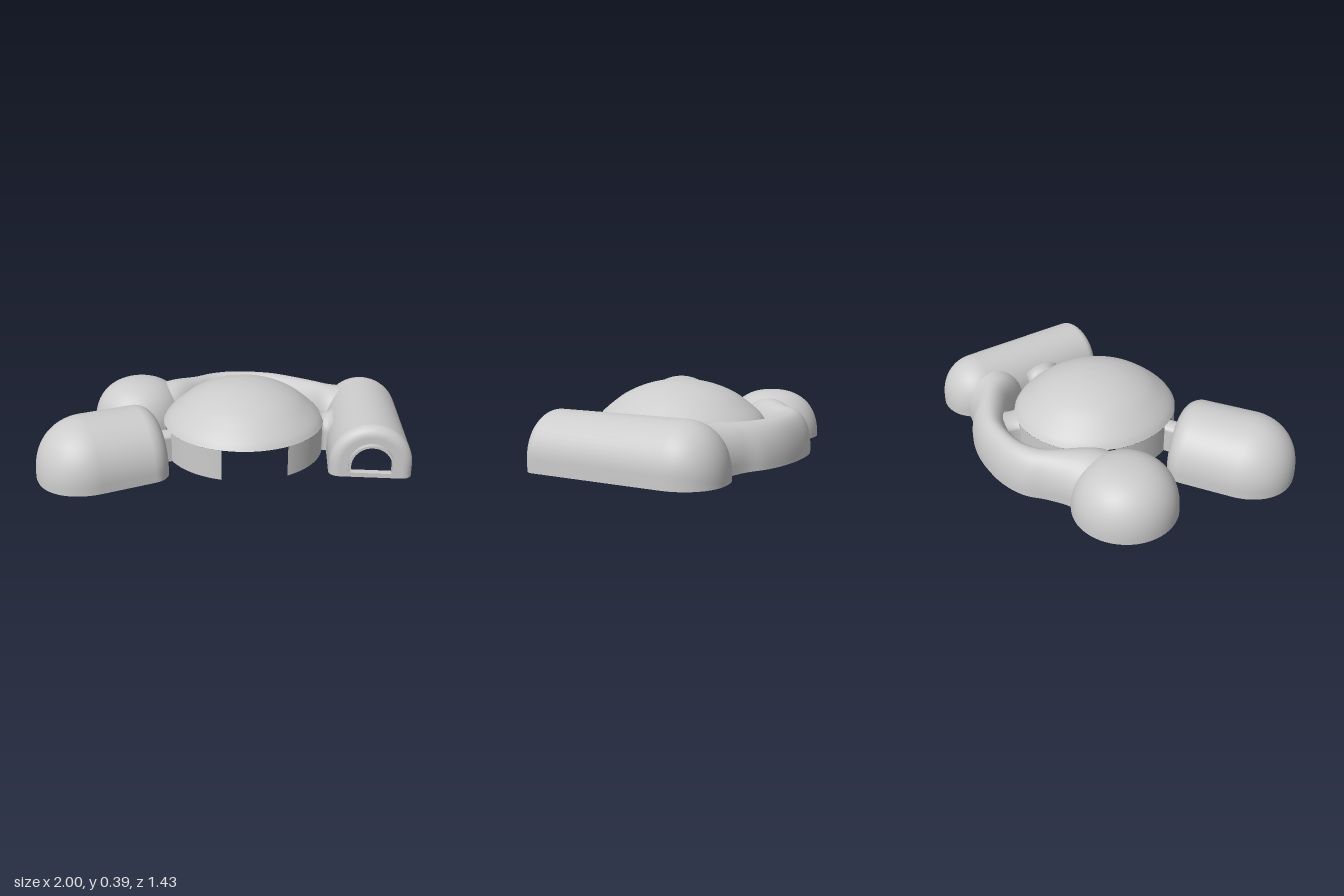
import * as THREE from 'three';

const material = new THREE.MeshStandardMaterial({ color: 0xcccccc, side: THREE.DoubleSide });

function mesh(name, geometry) {
  const m = new THREE.Mesh(geometry, material);
  m.name = name;
  return m;
}

// Arch outline: straight sides up to h - arch, then a half ellipse; open along the ground
function archSection(w, h, arch = Math.min(w, h), steps = 28) {
  const pts = [new THREE.Vector2(w, 0)];
  for (let i = 0; i <= steps; i++) {
    const a = (Math.PI * i) / steps;
    pts.push(new THREE.Vector2(w * Math.cos(a), h - arch + arch * Math.sin(a)));
  }
  pts.push(new THREE.Vector2(-w, 0));
  return pts;
}

// Skin over a list of rings with equal point counts
function loft(rings) {
  const n = rings[0].length;
  const index = [];
  for (let i = 0; i < rings.length - 1; i++) {
    for (let j = 0; j < n - 1; j++) {
      const a = i * n + j, b = a + n;
      index.push(a, a + 1, b, a + 1, b + 1, b);
    }
  }
  const g = new THREE.BufferGeometry().setFromPoints(rings.flat());
  g.setIndex(index);
  g.computeVertexNormals();
  return g;
}

const ringAt = (section, z) => section.map((p) => new THREE.Vector3(p.x, p.y, z));

// Vaulted hall along z: swollen rounded back, filleted flat front with an optional opening
function vault(name, w, h, back, front, backLength, fillet, opening) {
  const group = new THREE.Group();
  group.name = name;
  const rings = [];
  for (let i = 0; i <= 20; i++) {
    const a = (Math.PI / 2) * (i / 20);
    const c = Math.cos(a);
    const sx = Math.pow(Math.sin(a), 0.9), sy = Math.pow(Math.sin(a), 0.8);
    const ring = archSection(w, h).map((p) => new THREE.Vector2(p.x * sx, p.y * sy));
    rings.push(ringAt(ring, back + backLength * (1 - c)));
  }
  for (let i = 0; i <= 10; i++) {
    const a = (Math.PI / 2) * (i / 10);
    const d = fillet * (1 - Math.cos(a));
    rings.push(ringAt(archSection(w - d, h - d, w - d), front - fillet + fillet * Math.sin(a)));
  }
  group.add(mesh(name + 'Shell', loft(rings.reverse())));

  const face = new THREE.Shape(archSection(w - fillet, h - fillet));
  if (opening) face.holes.push(new THREE.Path(opening));
  const end = mesh(name + 'EndWall', new THREE.ShapeGeometry(face));
  end.position.z = front;
  group.add(end);
  return group;
}

// Short arched passage between two ground points
function passage(name, from, to, w, h, arch, flare = 0) {
  const rings = [];
  for (let i = 0; i <= 8; i++) {
    const t = i / 8;
    const extra = flare * Math.pow(2 * t - 1, 2);
    rings.push(ringAt(archSection(w + extra, h + extra * 0.5, arch), t));
  }
  const m = mesh(name, loft(rings.reverse()));
  const dx = to[0] - from[0], dz = to[1] - from[1];
  m.position.set(from[0], 0, from[1]);
  m.rotation.y = Math.atan2(dx, dz);
  m.scale.z = Math.hypot(dx, dz);
  return m;
}

function smoothProfile(points, count) {
  return new THREE.SplineCurve(points.map(([x, y]) => new THREE.Vector2(x, y))).getPoints(count);
}

export function createModel() {
  const model = new THREE.Group();

  // Central dome with wall segments left open at the doorways
  const hub = new THREE.Group();
  hub.name = 'centralDome';
  hub.position.x = 0.08;
  hub.scale.z = 1.04;
  const roof = smoothProfile([[0.457, 0.17], [0.432, 0.205], [0.38, 0.253], [0.3, 0.312],
    [0.2, 0.357], [0.1, 0.382], [0, 0.39]], 36);
  hub.add(mesh('domeRoof', new THREE.LatheGeometry(roof, 72)));
  const walls = [[0.61, 1.4], [1.93, 2.51], [2.94, 3.72], [4.34, 5.08], [5.3, 6.1]];
  for (const [a, b] of walls) {
    const wall = mesh('domeWall', new THREE.CylinderGeometry(0.457, 0.457, 0.17, 14, 1, true, a, b - a));
    wall.position.y = 0.085;
    hub.add(wall);
  }
  model.add(hub);

  // Long entrance hall on the left side, with a framed arched opening
  const opening = (r, base) => archSection(r, 0.075 + r - base, r, 20)
    .map((p) => new THREE.Vector2(p.x, p.y + base));
  const hall = vault('entranceHall', 0.22, 0.285, -0.61, 0.375, 0.22, 0.055, opening(0.107, 0.038));
  hall.position.x = 0.78;
  const frameShape = new THREE.Shape(opening(0.12, 0.025));
  frameShape.holes.push(new THREE.Path(opening(0.107, 0.038)));
  const frame = mesh('entranceFrame', new THREE.ExtrudeGeometry(frameShape, { depth: 0.04, bevelEnabled: false }));
  frame.position.z = 0.362;
  hall.add(frame);
  model.add(hall);

  // Barrel-shaped pod at the front, its flat end turned to the dome
  const pod = vault('frontPod', 0.275, 0.322, -0.33, 0.33, 0.27, 0.1);
  pod.position.set(-0.676, 0, 0.404);
  pod.rotation.y = (Math.PI * 2) / 3;
  model.add(pod);

  // Round pod at the back
  const podProfile = [];
  for (let i = 0; i <= 24; i++) {
    const a = (Math.PI / 2) * (i / 24);
    podProfile.push(new THREE.Vector2(0.282 * Math.pow(Math.cos(a), 0.85), 0.28 * Math.pow(Math.sin(a), 0.85)));
  }
  podProfile[24].x = 0;
  const roundPod = mesh('backPod', new THREE.LatheGeometry(podProfile, 56));
  roundPod.position.set(-0.583, 0, -0.297);
  model.add(roundPod);

  // Curved corridor behind the dome: outer x, z, inner x, z, height
  const stations = [
    [-0.5, -0.5, -0.44, -0.13, 0.235], [-0.4, -0.535, -0.32, -0.2, 0.25],
    [-0.3, -0.595, -0.2, -0.355, 0.235], [-0.2, -0.67, -0.14, -0.45, 0.23],
    [-0.07, -0.712, -0.04, -0.515, 0.23], [0.08, -0.72, 0.08, -0.53, 0.23],
    [0.25, -0.7, 0.2, -0.51, 0.23], [0.4, -0.65, 0.35, -0.42, 0.23],
    [0.5, -0.59, 0.47, -0.33, 0.235], [0.6, -0.555, 0.57, -0.2, 0.24],
    [0.72, -0.53, 0.68, -0.17, 0.24],
  ];
  const outer = new THREE.CatmullRomCurve3(stations.map((s) => new THREE.Vector3(s[0], s[4], s[1])));
  const inner = new THREE.CatmullRomCurve3(stations.map((s) => new THREE.Vector3(s[2], s[4], s[3])));
  const rings = [];
  for (let i = 0; i <= 60; i++) {
    const o = outer.getPoint(i / 60), n = inner.getPoint(i / 60);
    rings.push(archSection(1, o.y, 0.2).map((p) => {
      const v = n.clone().lerp(o, (p.x + 1) / 2);
      return v.setY(p.y);
    }));
  }
  model.add(mesh('curvedCorridor', loft(rings)));

  // Short passages joining the dome to its neighbours
  model.add(passage('podPassage', [-0.31, 0.215], [-0.43, 0.275], 0.052, 0.165, 0.03));
  model.add(passage('hallPassage', [0.5, -0.045], [0.59, -0.045], 0.095, 0.19, 0.08, 0.04));
  model.add(passage('backPassage', [0.24, -0.41], [0.285, -0.53], 0.09, 0.175, 0.05, 0.012));
  return model;
}
